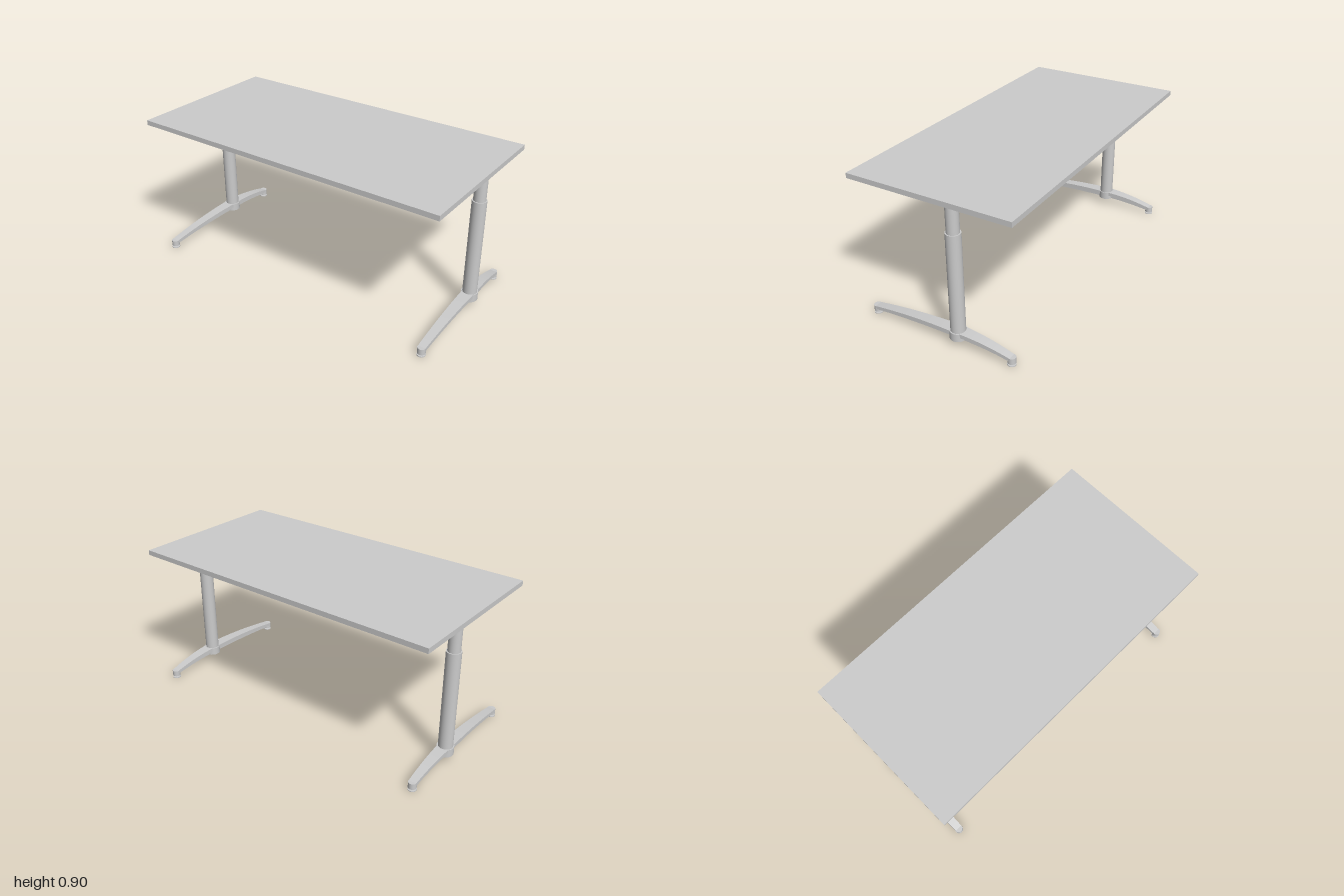
import * as THREE from 'three';
import { toCreasedNormals } from 'three/addons/utils/BufferGeometryUtils.js';

const material = new THREE.MeshStandardMaterial({ color: 0xcccccc, side: THREE.DoubleSide });
const COLUMN_X = 0.93, COLUMN_Z = -0.112, RAIL_X = 0.82;

function add(parent, name, geometry, x = 0, y = 0, z = 0) {
  const mesh = new THREE.Mesh(geometry, material);
  mesh.name = name;
  mesh.position.set(x, y, z);
  parent.add(mesh);
  return mesh;
}

function box(parent, name, [x0, x1], [y0, y1], [z0, z1]) {
  return add(parent, name, new THREE.BoxGeometry(x1 - x0, y1 - y0, z1 - z0),
    (x0 + x1) / 2, (y0 + y1) / 2, (z0 + z1) / 2);
}

function cylinder(parent, name, radius, y0, y1, x, z, sides = 40) {
  return add(parent, name, new THREE.CylinderGeometry(radius, radius, y1 - y0, sides), x, (y0 + y1) / 2, z);
}

// Extrudes a side profile of [z, y] points across x, centred on x = 0
function sideProfile(points, width) {
  const shape = new THREE.Shape(points.map(([z, y]) => new THREE.Vector2(-z, y)));
  const geometry = new THREE.ExtrudeGeometry(shape, { depth: width, bevelEnabled: false });
  return geometry.translate(0, 0, -width / 2).rotateY(Math.PI / 2);
}

// Arched foot arm: a T section swept from the hub to the tip, tapering as it goes
function footArm(endZ) {
  const steps = 20, positions = [], index = [], n = 8;
  for (let i = 0; i <= steps; i++) {
    const t = i / steps, drop = t * t;
    const z = THREE.MathUtils.lerp(COLUMN_Z, endZ, t);
    const top = 0.095 - 0.045 * drop;
    const flange = 0.071 - 0.041 * drop;
    const bottom = 0.046 - 0.027 * drop;
    const w = 0.037 - 0.014 * t, r = 0.014 - 0.004 * t;
    const section = [[-w, top], [w, top], [w, flange], [r, flange], [r, bottom], [-r, bottom], [-r, flange], [-w, flange]];
    section.forEach(([x, y]) => positions.push(x, y, z));
  }
  for (let i = 0; i < steps; i++) {
    for (let j = 0; j < n; j++) {
      const a = i * n + j, b = i * n + (j + 1) % n, c = a + n, d = b + n;
      if (endZ > COLUMN_Z) index.push(a, c, b, b, c, d);
      else index.push(a, b, c, b, d, c);
    }
  }
  const geometry = new THREE.BufferGeometry();
  geometry.setAttribute('position', new THREE.Float32BufferAttribute(positions, 3));
  geometry.setIndex(index);
  return toCreasedNormals(geometry, 0.5);
}

function createLeg(side) {
  const leg = new THREE.Group();
  leg.name = side > 0 ? 'leftLeg' : 'rightLeg';
  const x = side * COLUMN_X;

  // Telescopic column
  cylinder(leg, 'outerColumn', 0.0425, 0.046, 0.695, x, COLUMN_Z);
  cylinder(leg, 'innerColumn', 0.036, 0.69, 0.87, x, COLUMN_Z);

  // Foot with hub, two arms and levelling glides
  cylinder(leg, 'footHub', 0.049, 0.045, 0.094, x, COLUMN_Z);
  for (const end of [1, -1]) {
    const z = end * 0.446;
    add(leg, 'footArm', footArm(z), x);
    cylinder(leg, 'footTip', 0.024, 0.014, 0.05, x, z, 28);
    cylinder(leg, 'glideStem', 0.007, 0.004, 0.016, x, z, 16);
    cylinder(leg, 'glideDisc', 0.025, 0, 0.005, x, z, 28);
  }

  // Cross rail with slanted ends that reach the tabletop
  const rail = [[-0.405, 0.82], [0.405, 0.82], [0.425, 0.87], [0.38, 0.87], [0.376, 0.86],
    [-0.376, 0.86], [-0.38, 0.87], [-0.425, 0.87]];
  add(leg, 'crossRail', sideProfile(rail, 0.042), side * RAIL_X);

  // Bracket joining the column to the cross rail
  const bracket = new THREE.Group();
  bracket.name = 'columnBracket';
  box(bracket, 'saddle', [-0.026, 0.026], [0.814, 0.87], [-0.166, -0.054]);
  bracket.position.x = side * RAIL_X;
  leg.add(bracket);
  const armX = [side * 0.84, side * 0.91].sort((a, b) => a - b);
  box(leg, 'bracketArm', armX, [0.828, 0.862], [COLUMN_Z - 0.028, COLUMN_Z + 0.028]);
  return leg;
}

export function createModel() {
  const desk = new THREE.Group();
  desk.name = 'desk';
  box(desk, 'tabletop', [-1, 1], [0.87, 0.9], [-0.5, 0.5]);
  // Long rails under the tabletop
  for (const z of [0.22, -0.217]) box(desk, 'longRail', [-0.82, 0.82], [0.826, 0.87], [z - 0.0125, z + 0.0125]);
  for (const side of [1, -1]) desk.add(createLeg(side));
  return desk;
}
